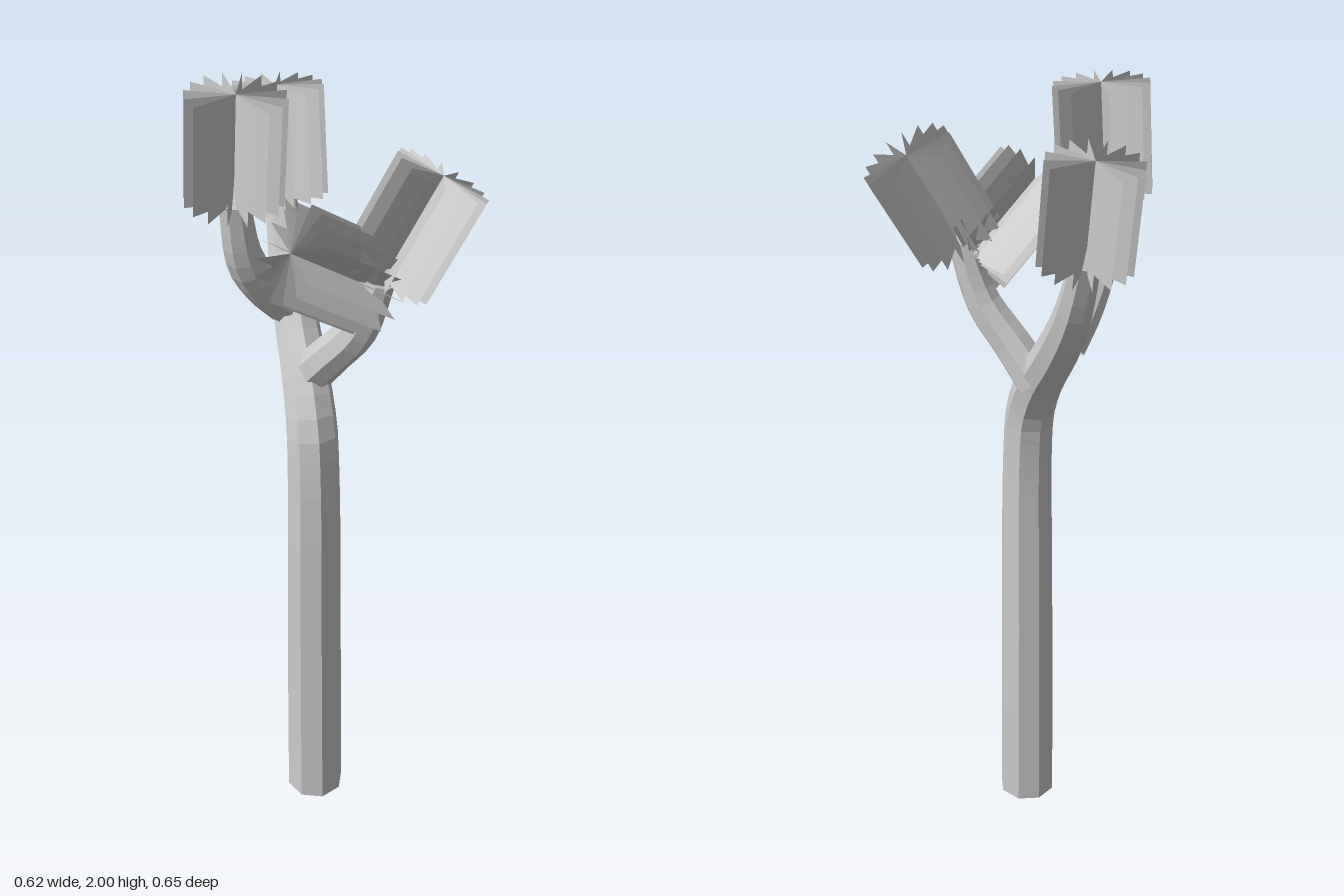
import * as THREE from 'three';
import { mergeGeometries } from 'three/addons/utils/BufferGeometryUtils.js';

const V = (x, y, z) => new THREE.Vector3(x, y, z);
const material = new THREE.MeshStandardMaterial({
  color: 0xcccccc, flatShading: true, side: THREE.DoubleSide,
});

// Octagonal limb along a curve; radii are spread evenly over its length.
function limb(name, points, radii, segments) {
  const curve = new THREE.CatmullRomCurve3(points);
  const geometry = new THREE.TubeGeometry(curve, segments, 1, 8, false);
  const pos = geometry.attributes.position;
  const v = V(0, 0, 0);
  for (let i = 0; i < pos.count; i++) {
    const u = Math.floor(i / 9) / segments;
    const center = curve.getPointAt(u);
    const f = u * (radii.length - 1);
    const k = Math.min(Math.floor(f), radii.length - 2);
    const r = THREE.MathUtils.lerp(radii[k], radii[k + 1], f - k);
    v.fromBufferAttribute(pos, i).sub(center).multiplyScalar(r).add(center);
    pos.setXYZ(i, v.x, v.y, v.z);
  }
  geometry.computeVertexNormals();
  const mesh = new THREE.Mesh(geometry, material);
  mesh.name = name;
  return mesh;
}

// Pointed end closing a limb inside its leaf cluster.
function limbTip(name, base, toward, radius) {
  const geometry = new THREE.ConeGeometry(radius, 0.05, 8, 1, true);
  geometry.translate(0, 0.025, 0);
  const mesh = new THREE.Mesh(geometry, material);
  mesh.position.copy(base);
  mesh.quaternion.setFromUnitVectors(V(0, 1, 0), toward.clone().sub(base).normalize());
  mesh.name = name;
  return mesh;
}

// Sixteen flat rectangular blades radiating from an axis.
function leafCluster(name, bottom, tip) {
  const length = bottom.distanceTo(tip);
  const blades = [];
  for (let i = 0; i < 16; i++) {
    const blade = new THREE.PlaneGeometry(0.11, length);
    blade.translate(0.055, length / 2, 0);
    blade.rotateY((i / 16) * Math.PI * 2 + 0.04);
    blades.push(blade);
  }
  const mesh = new THREE.Mesh(mergeGeometries(blades), material);
  mesh.position.copy(bottom);
  mesh.quaternion.setFromUnitVectors(V(0, 1, 0), tip.clone().sub(bottom).normalize());
  mesh.name = name;
  return mesh;
}

export function createModel() {
  const tree = new THREE.Group();
  tree.name = 'branchingTree';

  // Trunk, leaning backwards above the fork
  tree.add(limb('trunk', [
    V(-0.05, 0, 0.105), V(-0.05, 0.5, 0.103), V(-0.05, 1.08, 0.1), V(-0.05, 1.19, 0.085),
    V(-0.05, 1.29, 0.035), V(-0.05, 1.4, -0.05), V(-0.05, 1.52, -0.125), V(-0.05, 1.67, -0.183),
  ], [0.075, 0.073, 0.07, 0.067, 0.062, 0.052, 0.036], 36));

  // Front branch, carrying two clusters
  tree.add(limb('frontBranch', [
    V(-0.04, 1.29, 0.03), V(-0.005, 1.37, 0.085), V(0.045, 1.47, 0.145), V(0.08, 1.61, 0.183),
  ], [0.052, 0.046, 0.034], 10));

  // Side branch
  tree.add(limb('rightBranch', [
    V(-0.06, 1.42, -0.07), V(-0.12, 1.49, -0.045), V(-0.175, 1.59, -0.015), V(-0.2, 1.75, 0.007),
  ], [0.05, 0.045, 0.036], 10));

  // Leaf clusters: name, bottom, tip
  const clusters = [
    ['backLeaves', V(-0.05, 1.655, -0.18), V(-0.05, 1.905, -0.217)],
    ['rightLeaves', V(-0.2, 1.745, 0.005), V(-0.19, 1.997, 0.017)],
    ['frontLeftLeaves', V(0.086, 1.62, 0.19), V(0.212, 1.84, 0.185)],
    ['frontRightLeaves', V(0.07, 1.58, 0.165), V(-0.13, 1.725, 0.22)],
  ];
  for (const [name, bottom, tip] of clusters) {
    tree.add(leafCluster(name, bottom, tip));
    tree.add(limbTip(name + 'Stem', bottom, tip, 0.035));
  }
  return tree;
}
